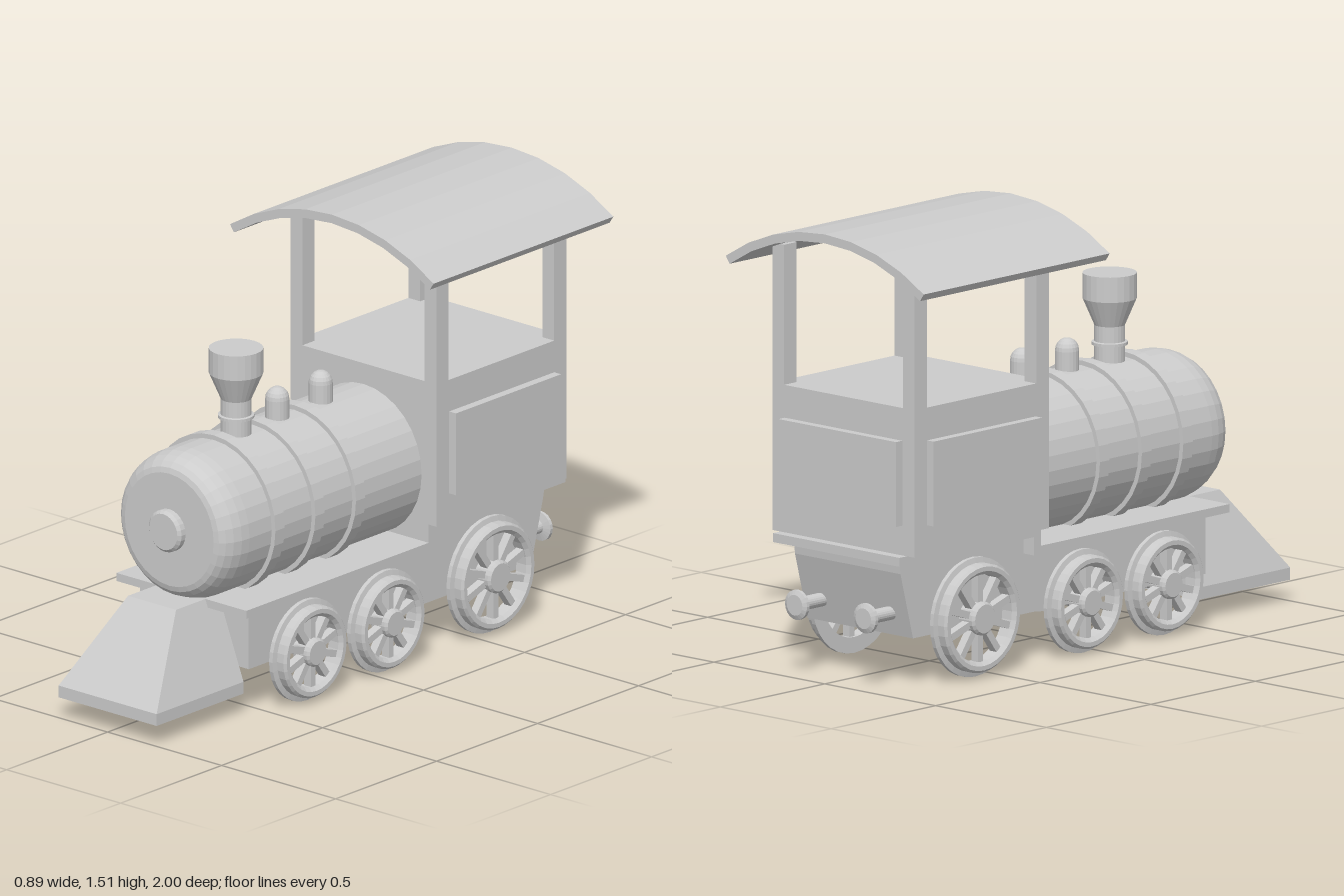
import * as THREE from 'three';

const material = new THREE.MeshStandardMaterial({ color: 0xcccccc, flatShading: true });

function add(parent, name, geometry, x = 0, y = 0, z = 0) {
  const mesh = new THREE.Mesh(geometry, material);
  mesh.name = name;
  mesh.position.set(x, y, z);
  parent.add(mesh);
  return mesh;
}

// Box given by its limits on each axis
function block(parent, name, [x0, x1], [y0, y1], [z0, z1]) {
  return add(parent, name, new THREE.BoxGeometry(x1 - x0, y1 - y0, z1 - z0),
    (x0 + x1) / 2, (y0 + y1) / 2, (z0 + z1) / 2);
}

// Profile of (radius, height) pairs turned about y
const turned = (points, sides) =>
  new THREE.LatheGeometry(points.map(([r, h]) => new THREE.Vector2(r, h)), sides);

// Side profile of (z, y) pairs, extruded across x
function sideProfile(points, width) {
  const shape = new THREE.Shape(points.map(([z, y]) => new THREE.Vector2(z, y)));
  const g = new THREE.ExtrudeGeometry(shape, { depth: width, bevelEnabled: false });
  return g.translate(0, 0, -width / 2).rotateY(-Math.PI / 2);
}

// Spoked wheel whose axis is x, outer face towards +x
function makeWheel(radius) {
  const wheel = new THREE.Group();
  wheel.name = 'wheel';
  const tyre = radius - 0.018, inner = radius - 0.053, hub = radius * 0.28;
  const rim = turned([[inner, 0.265], [radius, 0.265], [radius, 0.28], [tyre, 0.284], [tyre, 0.312],
    [tyre - 0.008, 0.32], [inner + 0.012, 0.32], [inner, 0.308], [inner, 0.265]], 32);
  add(wheel, 'rim', rim.rotateZ(-Math.PI / 2));
  add(wheel, 'hub', turned([[0, 0.26], [hub, 0.26], [hub, 0.318], [hub - 0.008, 0.326], [0, 0.326]], 20)
    .rotateZ(-Math.PI / 2));
  for (let i = 0; i < 10; i++) {
    const length = inner - hub + 0.02;
    const spoke = new THREE.BoxGeometry(0.03, length, 0.024);
    spoke.translate(0.29, (inner + hub) / 2, 0).rotateX((i / 10) * Math.PI * 2);
    add(wheel, 'spoke', spoke);
  }
  return wheel;
}

export function createModel() {
  const model = new THREE.Group();
  model.name = 'steamLocomotive';

  // Boiler with rounded front, bands and front cap
  const axisY = 0.628;
  const barrel = [[0, -0.28], [0.255, -0.28], [0.255, 0.585]];
  for (let i = 1; i <= 5; i++) {
    const a = (i / 5) * Math.PI / 2;
    barrel.push([0.195 + 0.06 * Math.cos(a), 0.585 + 0.11 * Math.sin(a)]);
  }
  barrel.push([0, 0.695]);
  add(model, 'boiler', turned(barrel, 32).rotateX(Math.PI / 2), 0, axisY, 0);
  for (const z of [0.452, 0.254, 0.053]) {
    const band = turned([[0.24, -0.023], [0.271, -0.023], [0.271, 0.023], [0.24, 0.023]], 32);
    add(model, 'boilerBand', band.rotateX(Math.PI / 2), 0, axisY, z);
  }
  add(model, 'frontCap', turned([[0, 0.68], [0.072, 0.68], [0.072, 0.715], [0.062, 0.725], [0, 0.725]], 24)
    .rotateX(Math.PI / 2), 0, axisY, 0);

  // Chimney
  add(model, 'chimney', turned([[0, 0.85], [0.051, 0.85], [0.051, 0.932], [0.06, 0.934], [0.06, 0.944],
    [0.051, 0.946], [0.051, 1.0], [0.09, 1.09], [0.09, 1.175], [0, 1.175]], 24), 0, 0, 0.364);

  // Steam domes
  for (const z of [0.16, -0.055]) {
    const dome = [[0.04, 0.85], [0.04, 0.945]];
    for (let i = 1; i <= 5; i++) {
      const a = (i / 5) * Math.PI / 2;
      dome.push([0.04 * Math.cos(a), 0.945 + 0.042 * Math.sin(a)]);
    }
    add(model, 'steamDome', turned(dome, 20), 0, 0, z);
  }

  // Cab body, raised panels and posts
  block(model, 'cabBody', [-0.32, 0.32], [0.46, 0.955], [-0.91, -0.267]);
  block(model, 'backPanel', [-0.265, 0.265], [0.56, 0.845], [-0.94, -0.9]);
  for (const s of [-1, 1]) {
    block(model, 'sidePanel', s > 0 ? [0.31, 0.35] : [-0.35, -0.31], [0.56, 0.845], [-0.85, -0.33]);
    for (const z of [-0.91, -0.327]) {
      block(model, 'cabPost', s > 0 ? [0.268, 0.32] : [-0.32, -0.268], [0.95, 1.425], [z, z + 0.06]);
    }
  }

  // Arched roof
  const arch = new THREE.Shape();
  const steps = 8, half = 0.594;
  for (let i = 0; i <= steps; i++) {
    const a = half - (2 * half * i) / steps;
    arch[i ? 'lineTo' : 'moveTo'](0.798 * Math.sin(a), 0.798 * Math.cos(a));
  }
  for (let i = 0; i <= steps; i++) {
    const a = -half + (2 * half * i) / steps;
    arch.lineTo(0.768 * Math.sin(a), 0.768 * Math.cos(a));
  }
  arch.closePath();
  add(model, 'roof', new THREE.ExtrudeGeometry(arch, { depth: 0.89, bevelEnabled: false }), 0, 0.715, -1);

  // Running board and chassis
  add(model, 'runningBoard', sideProfile([[0.635, 0.368], [0.635, 0.396], [-0.268, 0.396], [-0.268, 0.46],
    [-0.945, 0.46], [-0.945, 0.43], [-0.3, 0.43], [-0.3, 0.368]], 0.57));
  add(model, 'chassis', sideProfile([[0.57, 0.165], [0.57, 0.38], [-0.29, 0.38], [-0.29, 0.44],
    [-0.895, 0.44], [-0.89, 0.39], [-0.83, 0.165]], 0.476));

  // Front plough: sloped wedge on a flat base
  const wedge = new THREE.BoxGeometry(0.43, 0.28, 0.43);
  const p = wedge.attributes.position;
  for (let i = 0; i < p.count; i++) {
    if (p.getY(i) > 0) {
      p.setX(i, p.getX(i) * 0.49);
      if (p.getZ(i) > 0) p.setZ(i, -0.005);
    }
  }
  wedge.computeVertexNormals();
  add(model, 'ploughWedge', wedge, 0, 0.256, 0.785);
  block(model, 'ploughBase', [-0.215, 0.215], [0.075, 0.116], [0.57, 1.0]);

  // Wheels and axles
  for (const [z, r] of [[0.326, 0.174], [-0.06, 0.174], [-0.578, 0.2]]) {
    const y = r + 0.004;
    for (const turn of [0, Math.PI]) {
      const wheel = makeWheel(r);
      wheel.position.set(0, y, z);
      wheel.rotation.y = turn;
      model.add(wheel);
    }
    add(model, 'axle', new THREE.CylinderGeometry(0.026, 0.026, 0.54, 16).rotateZ(Math.PI / 2), 0, y, z);
  }

  // Rear buffers
  for (const x of [-0.155, 0.155]) {
    const buffer = turned([[0, 0.8], [0.023, 0.8], [0.023, 0.955], [0.05, 0.961], [0.05, 0.973],
      [0.035, 0.98], [0, 0.98]], 20);
    add(model, 'buffer', buffer.rotateX(-Math.PI / 2), x, 0.242, 0);
  }

  return model;
}
